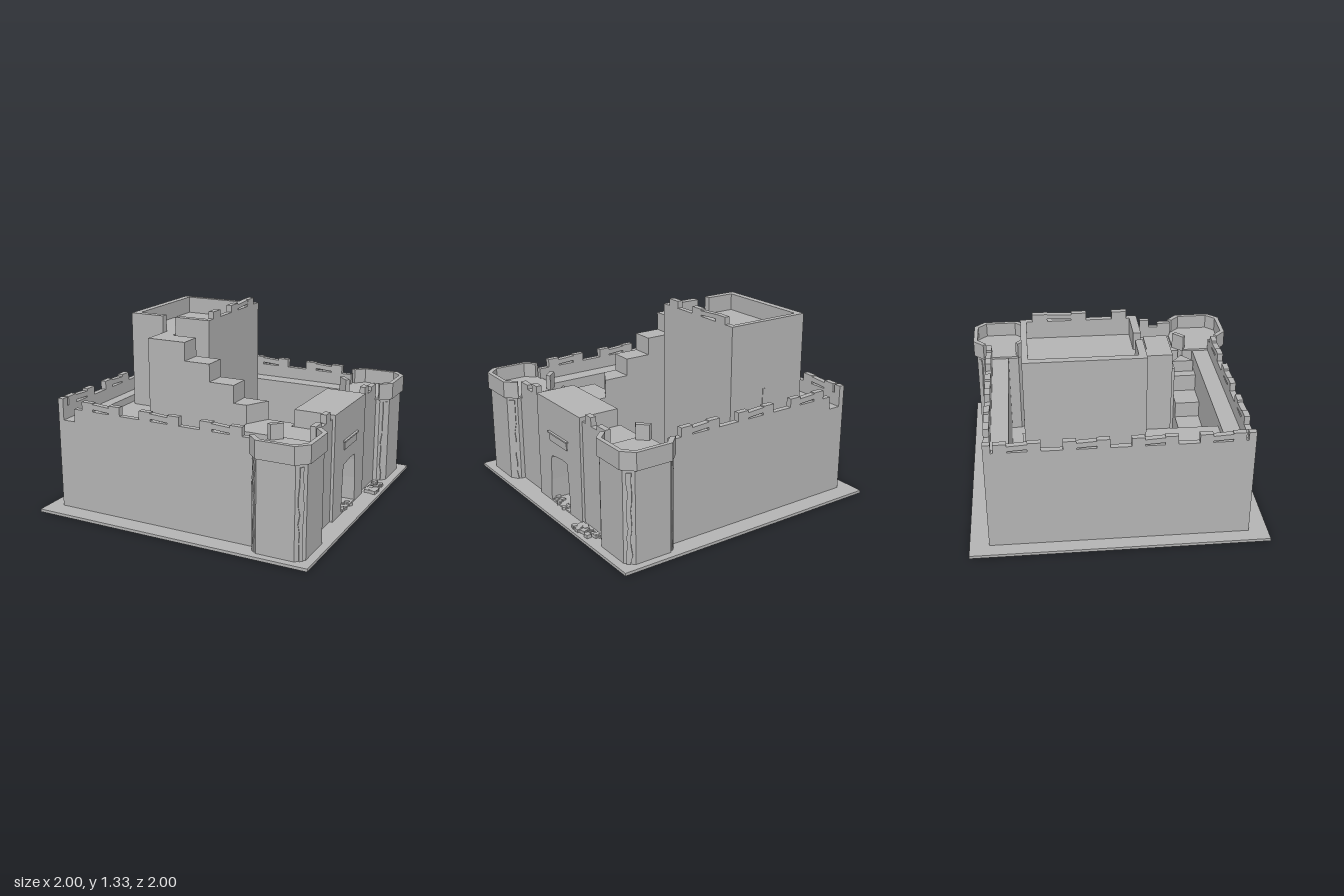
import * as THREE from 'three';

export function createModel() {
  const model = new THREE.Group();
  const stone = new THREE.MeshStandardMaterial({ color: 0xb3b3b3 });
  stone.name = 'grey stone';

  let seed = 7;
  const rand = (a, b) => {
    seed = (seed * 16807) % 2147483647;
    return a + (b - a) * (seed / 2147483647);
  };
  const add = (name, geometry) => {
    const mesh = new THREE.Mesh(geometry, stone);
    mesh.name = name;
    model.add(mesh);
    return mesh;
  };
  // Box given by its limits on each axis
  const box = (name, x0, x1, y0, y1, z0, z1) => {
    const mesh = add(name, new THREE.BoxGeometry(x1 - x0, y1 - y0, z1 - z0));
    mesh.position.set((x0 + x1) / 2, (y0 + y1) / 2, (z0 + z1) / 2);
    return mesh;
  };
  const toShape = (pts) => new THREE.Shape(pts.map(([x, y]) => new THREE.Vector2(x, y)));
  const extrude = (shape, depth) => new THREE.ExtrudeGeometry(shape, { depth, bevelEnabled: false });
  // Upright prism over a plan outline of [x, z] points
  const prism = (name, pts, y0, y1) => {
    const geometry = extrude(toShape(pts.map(([x, z]) => [x, -z])), y1 - y0);
    geometry.rotateX(-Math.PI / 2).translate(0, y0, 0);
    return add(name, geometry);
  };

  const ground = 0.02, walk = 0.65, crest = 0.74, top = 0.8;
  box('base', -1, 1, 0, ground, -1, 1);

  // Curtain walls with walkways
  box('westWall', -0.9, -0.78, ground, walk, -0.87, 0.87);
  box('westParapet', -0.9, -0.86, walk, crest, -0.87, 0.87);
  for (const s of [-1, 1]) {
    const z0 = s > 0 ? 0.71 : -0.87, z1 = s > 0 ? 0.87 : -0.71;
    const p0 = s > 0 ? 0.83 : -0.87, p1 = s > 0 ? 0.87 : -0.83;
    box('sideWall', -0.78, 0.6, ground, walk, z0, z1);
    box('sideParapet', -0.77, 0.57, walk, crest, p0, p1);
    box('cornerMerlon', -0.9, -0.86, crest, top, s > 0 ? 0.82 : -0.87, s > 0 ? 0.87 : -0.82);
  }

  // Worn merlon: two sound ends with a loose tilted block between
  const merlon = (x, z, alongZ) => {
    const group = new THREE.Group();
    group.name = 'merlon';
    const part = (cx, cy, w, h, tilt) => {
      const mesh = new THREE.Mesh(new THREE.BoxGeometry(w, h, 0.04), stone);
      mesh.position.set(cx, cy, 0);
      mesh.rotation.z = tilt;
      group.add(mesh);
    };
    part(-0.107, 0.77, 0.085, 0.06, 0);
    part(0.107, 0.77, 0.085, 0.06, 0);
    part(0, 0.77, 0.135, 0.036, -0.06);
    group.position.set(x, 0, z);
    if (alongZ) group.rotation.y = Math.PI / 2;
    model.add(group);
  };
  for (const x of [-0.555, -0.105, 0.345]) {
    merlon(x, 0.85, false);
    merlon(x, -0.85, false);
  }
  for (const z of [-0.655, -0.218, 0.218, 0.655]) merlon(-0.88, z, true);

  // Walls between the gatehouse and the towers
  for (const s of [-1, 1]) {
    const span = (name, x0, x1, y0, y1, a, b) =>
      box(name, x0, x1, y0, y1, Math.min(s * a, s * b), Math.max(s * a, s * b));
    span('gateWingWall', 0.57, 0.86, ground, walk, 0.29, 0.6);
    span('gateWingParapet', 0.82, 0.86, walk, crest, 0.29, 0.57);
    span('gateWingMerlon', 0.82, 0.86, crest, top, 0.33, 0.4);
    span('gateWingMerlon', 0.82, 0.86, crest, 0.77, 0.47, 0.57);
  }

  // Gatehouse with a ragged passage through it
  const gate = toShape([[-0.29, ground], [0.29, ground], [0.29, 0.77], [-0.29, 0.77]]);
  gate.holes.push(new THREE.Path([
    [-0.13, 0.03], [-0.125, 0.18], [-0.112, 0.35], [-0.1, 0.37], [0.03, 0.385],
    [0.1, 0.38], [0.108, 0.34], [0.122, 0.2], [0.13, 0.03],
  ].map(([x, y]) => new THREE.Vector2(x, y))));
  const gateGeometry = extrude(gate, 0.29);
  gateGeometry.rotateY(Math.PI / 2).translate(0.59, 0, 0);
  add('gatehouse', gateGeometry);
  box('gatePlaque', 0.87, 0.887, 0.48, 0.54, -0.115, 0.115);
  box('gatePlaqueLedge', 0.87, 0.897, 0.537, 0.547, -0.13, 0.13);

  // Corner towers: chamfered shafts, broken edges and open parapets
  const outline = (h, c) => [
    [-h, h - c], [-h + c, h], [h - c, h], [h, h - c],
    [h, -h + c], [h - c, -h], [-h + c, -h], [-h, -h + c],
  ];
  for (const s of [-1, 1]) {
    const place = (pts) => pts.map(([x, z]) => [0.76 + x, s * (0.765 + z)]);
    prism('towerShaft', place(outline(0.185, 0.055)), ground, 0.66);
    const outer = outline(0.205, 0.075), inner = outline(0.175, 0.063);
    prism('towerFloor', place(outer), 0.65, 0.665);
    for (const [a, b] of [[0, 6], [6, 8]]) {
      const ring = [...outer.slice(a, b), ...inner.slice(a, b).reverse()];
      prism('towerParapet', place(ring), 0.66, 0.77);
    }
    for (const angle of [1, 3, -1].map((k) => (k * Math.PI) / 4)) {
      const pts = [];
      for (let i = 0; i <= 10; i++) pts.push([rand(0.006, 0.022), ground + i * 0.061]);
      for (let i = 10; i >= 0; i--) pts.push([-rand(0.006, 0.022), ground + i * 0.061]);
      const facing = s > 0 ? angle : Math.PI - angle;
      const crack = add('brokenEdge', extrude(toShape(pts), 0.008));
      crack.rotation.y = facing;
      crack.position.set(0.76 + Math.sin(facing) * 0.222, 0, s * 0.765 + Math.cos(facing) * 0.222);
    }
  }

  // Keep with a walled roof, open where the stair arrives
  const roof = 1.16, rim = 1.28;
  box('keep', -0.74, -0.11, ground, roof, -0.6, 0.18);
  box('keepParapetWest', -0.74, -0.69, roof, rim, -0.6, 0.18);
  box('keepParapetEast', -0.15, -0.11, roof, rim, -0.6, 0.18);
  box('keepParapetNorth', -0.69, -0.15, roof, rim, -0.6, -0.56);
  box('keepParapetSouth', -0.69, -0.48, roof, rim, 0.13, 0.18);
  box('keepParapetSouth', -0.38, -0.15, roof, rim, 0.13, 0.18);
  box('keepMerlon', -0.15, -0.11, rim, 1.33, 0.01, 0.11);
  box('keepMerlon', -0.15, -0.11, rim, 1.33, -0.26, -0.16);
  box('keepMerlon', -0.15, -0.11, rim, 1.33, -0.52, -0.42);
  box('looseMerlon', -0.15, -0.11, 1.294, 1.324, -0.42, -0.26).rotation.x = 0.06;
  box('keepSlit', -0.41, -0.39, 0.66, 0.8, -0.604, -0.6);

  // Terrace beside the keep
  box('terrace', -0.78, -0.48, ground, 0.6, -0.6, 0.71);

  // Upper flight rising to the keep roof
  box('stairHead', -0.48, -0.38, ground, roof, 0.18, 0.22);
  [[-0.48, -0.19, 1.16], [-0.19, 0, 1.03], [0, 0.185, 0.905], [0.185, 0.28, 0.78]]
    .forEach(([x0, x1, y]) => box('upperStep', x0, x1, ground, y, 0.22, 0.38));
  const wedge = prism('brokenStep', [[0.28, 0.22], [0.37, 0.22], [0.28, 0.38]], walk, 0.78);
  wedge.name = 'brokenStep';
  box('stairLanding', 0.28, 0.57, ground, walk, 0.22, 0.53);

  // Lower flight rising from the yard to the landing
  [0.15, 0.28, 0.4, 0.53].forEach((y, i) => {
    const x = -0.19 + i * 0.19;
    box('lowerStep', x, Math.min(x + 0.19, 0.57), ground, y, 0.53, 0.71);
  });
  prism('brokenStep', [[0.45, 0.54], [0.55, 0.62], [0.45, 0.7]], 0.53, 0.62);

  // Fallen slabs in the yard
  [[0.16, -0.3, 0.15, 0.27, 0.25], [0.41, -0.15, 0.3, 0.13, -0.18],
    [0.335, -0.55, 0.14, 0.16, 0], [0.515, -0.49, 0.06, 0.1, 0],
    [0.47, 0.03, 0.02, 0.18, 0.18]].forEach(([x, z, w, d, turn]) => {
    const slab = box('fallenSlab', x - w / 2, x + w / 2, ground, 0.07, z - d / 2, z + d / 2);
    slab.rotation.y = turn;
  });

  // Scattered rubble
  const rubble = (count, x0, x1, z0, z1) => {
    for (let i = 0; i < count; i++) {
      const size = rand(0.016, 0.036), x = rand(x0, x1), z = rand(z0, z1);
      const piece = box('rubble', x, x + size, ground, ground + size * 0.7, z, z + size);
      piece.rotation.y = rand(-0.4, 0.4);
    }
  };
  rubble(28, 0.2, 0.52, -0.6, -0.28);
  rubble(26, 0.03, 0.48, -0.5, 0.1);
  rubble(40, 0.88, 0.95, -0.54, -0.33);
  rubble(14, 0.8, 0.87, -0.12, 0.1);

  return model;
}
